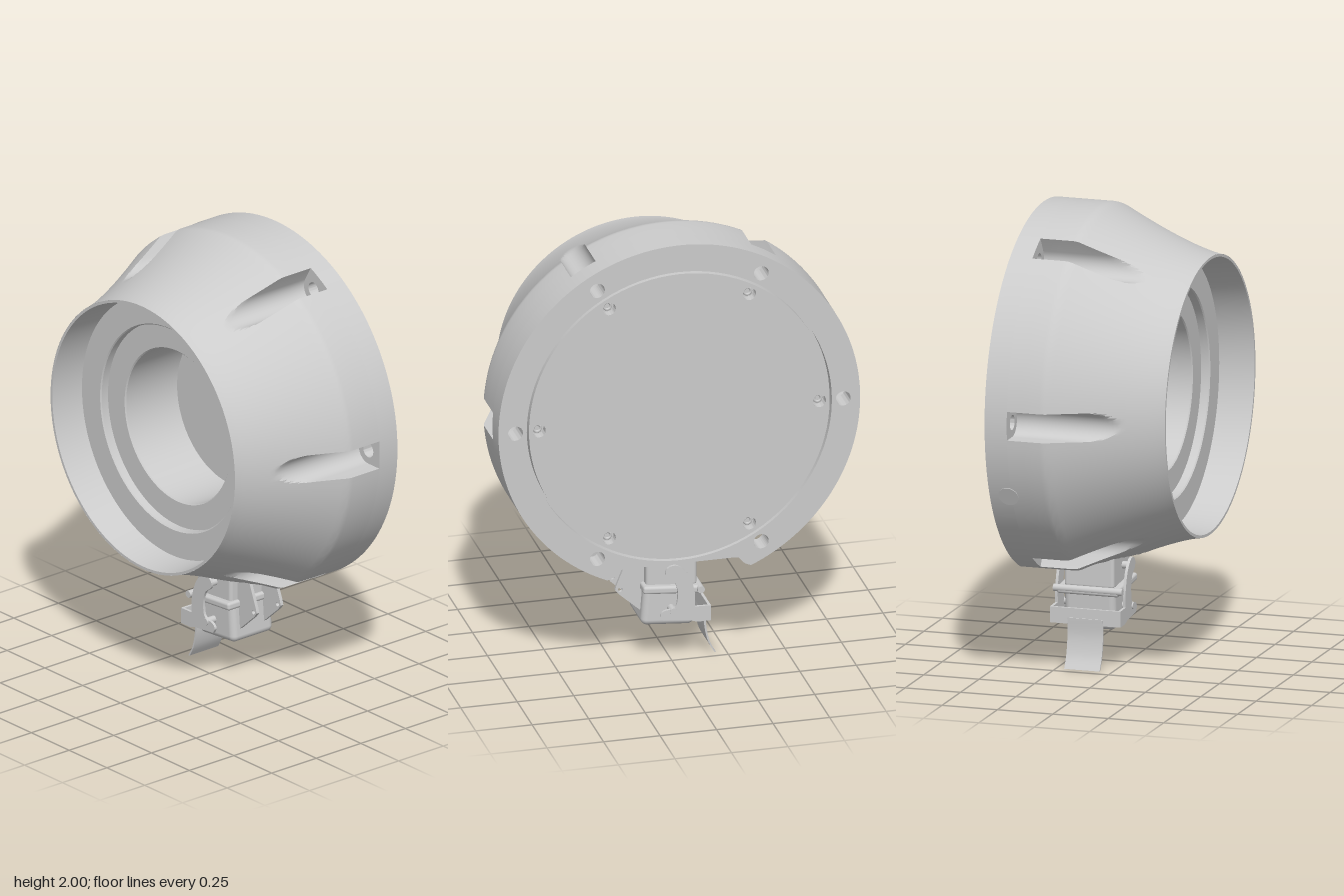
import * as THREE from 'three';
import { toCreasedNormals } from 'three/addons/utils/BufferGeometryUtils.js';
import { RoundedBoxGeometry } from 'three/addons/geometries/RoundedBoxGeometry.js';

const mat = new THREE.MeshStandardMaterial({ color: 0xcccccc, side: THREE.DoubleSide });
const CY = 1.2, R = 0.8, BOLT = 0.725, W = 0.063, FLOOR = -0.275, BACK = -0.375, FRONT = 0.375;

function add(parent, name, geo, x = 0, y = 0, z = 0) {
  const mesh = new THREE.Mesh(geo, mat);
  mesh.name = name;
  mesh.position.set(x, y, z);
  parent.add(mesh);
  return mesh;
}

// Flat at the bottom of the housing, with small sloped ends
const flatten = (x, y) => Math.max(y, -0.69 - Math.max(0, Math.abs(x) - 0.26) * 1.1);

// Flared outer radius along the axis
function radiusAt(z) {
  if (z <= -0.13) return R;
  if (z < -0.1) return R - 0.006 * ((z + 0.13) / 0.03) ** 2;
  return 0.61 + 0.184 * Math.pow(Math.max(0, 1 - (z + 0.1) / 0.475), 1.32);
}

// Outline at one height: circle with six U-shaped bolt slots and the flat
function outline(z, slotted) {
  const r = radiusAt(z), half = Math.asin(W / r), pts = [];
  for (let k = 0; k < 6; k++) {
    const a = k * Math.PI / 3, c = Math.cos(a), s = Math.sin(a);
    const put = (u, v) => {
      const x = u * c - v * s, y = u * s + v * c;
      pts.push(new THREE.Vector2(x, flatten(x, y)));
    };
    const edge = Math.sqrt(r * r - W * W);
    put(edge, -W);
    for (let i = 0; i <= 14; i++) {
      const phi = (i / 14 - 0.5) * Math.PI, v = W * Math.sin(phi);
      const rim = Math.sqrt(r * r - v * v);
      put(slotted ? Math.min(rim, BOLT - W * Math.cos(phi)) : rim, v);
    }
    put(edge, W);
    for (let i = 1; i < 24; i++) {
      const t = half + (Math.PI / 3 - 2 * half) * i / 24;
      put(r * Math.cos(t), r * Math.sin(t));
    }
  }
  return pts;
}

function housingShell() {
  const zs = [FLOOR, -0.2, -0.13, -0.12, -0.11];
  for (let i = 0; i <= 24; i++) zs.push(-0.1 + (FRONT + 0.1) * i / 24);
  const pos = [], idx = [];
  let n = 0;
  zs.forEach((z, i) => {
    const ring = outline(z, true);
    n = ring.length;
    ring.forEach(p => pos.push(p.x, p.y, z));
    if (i === 0) return;
    for (let j = 0; j < n; j++) {
      const a = (i - 1) * n + j, b = (i - 1) * n + (j + 1) % n;
      idx.push(a, b, a + n, b, b + n, a + n);
    }
  });
  const g = new THREE.BufferGeometry();
  g.setAttribute('position', new THREE.Float32BufferAttribute(pos, 3));
  g.setIndex(idx);
  return toCreasedNormals(g, 0.5);
}

const circleHole = (x, y, r) => new THREE.Path().absarc(x, y, r, 0, Math.PI * 2, true);

function ringOfHoles(shape, radius, r) {
  for (let k = 0; k < 6; k++) {
    const a = k * Math.PI / 3;
    shape.holes.push(circleHole(radius * Math.cos(a), radius * Math.sin(a), r));
  }
}

function extrude(shape, depth, segments = 24) {
  const g = new THREE.ExtrudeGeometry(shape, { depth, bevelEnabled: false, curveSegments: segments });
  return toCreasedNormals(g, 0.5);
}

// Turned profile of [radius, z] pairs about the z axis
function turned(profile) {
  const g = new THREE.LatheGeometry(profile.map(p => new THREE.Vector2(p[0], p[1])), 96);
  g.rotateX(Math.PI / 2);
  return toCreasedNormals(g, 0.4);
}

function buildHousing() {
  const g = new THREE.Group();
  g.name = 'housing';
  g.position.y = CY;
  add(g, 'flaredShell', housingShell());

  // Rear flange with through holes
  const flange = new THREE.Shape(outline(FLOOR, false));
  flange.holes.push(circleHole(0, 0, 0.675));
  ringOfHoles(flange, BOLT, 0.033);
  add(g, 'rearFlange', extrude(flange, FLOOR - BACK, 48), 0, 0, BACK);

  // Front rim, stepped cavity and bore
  add(g, 'steppedBore', turned([
    [0.61, 0.375], [0.598, 0.375], [0.585, 0.22], [0.465, 0.22], [0.46, 0.215], [0.46, 0.18],
    [0.35, 0.18], [0.345, 0.175], [0.345, -0.11], [0, -0.11]]));

  // Back cover with recessed screws
  const cover = new THREE.Shape().absarc(0, 0, 0.665, 0, Math.PI * 2, false);
  ringOfHoles(cover, 0.62, 0.029);
  add(g, 'backCover', extrude(cover, 0.04, 48), 0, 0, BACK);
  add(g, 'coverSeat', new THREE.CircleGeometry(0.68, 96), 0, 0, -0.335);
  for (let k = 0; k < 6; k++) {
    const a = k * Math.PI / 3;
    add(g, 'coverScrew', new THREE.TorusGeometry(0.016, 0.006, 8, 20),
      0.62 * Math.cos(a), 0.62 * Math.sin(a), -0.34);
  }

  // Small round port on the side of the rim
  const port = new THREE.Group();
  port.name = 'sidePort';
  port.rotation.z = THREE.MathUtils.degToRad(204);
  const plug = add(port, 'portFace', new THREE.CylinderGeometry(0.045, 0.045, 0.02, 28), 0.792, 0, -0.29);
  plug.rotation.z = -Math.PI / 2;
  g.add(port);
  return g;
}

function buildConnector() {
  const g = new THREE.Group();
  g.name = 'connector';
  const ZC = -0.135;
  add(g, 'socketBase', new RoundedBoxGeometry(0.225, 0.18, 0.225, 3, 0.015), 0, 0.43, ZC);

  // Slightly tilted plug hood
  const hood = new THREE.Group();
  hood.name = 'plugHood';
  hood.position.set(0.01, 0.26, ZC);
  hood.rotation.z = 0.08;
  add(hood, 'hoodBody', new RoundedBoxGeometry(0.235, 0.19, 0.23, 4, 0.028), 0, 0, 0);
  add(hood, 'hoodCollar', new RoundedBoxGeometry(0.265, 0.035, 0.28, 3, 0.012), -0.005, 0.08, 0);
  g.add(hood);

  // Triangular hinge plates
  const tri = new THREE.Shape([[0.1, 0.51], [0.175, 0.51], [0.235, 0.36], [0.24, 0.34], [0.225, 0.32], [0.13, 0.235], [0.1, 0.24]]
    .map(p => new THREE.Vector2(...p)));
  tri.holes.push(circleHole(0.218, 0.34, 0.01));
  for (const z of [-0.075, -0.21]) add(g, 'hingePlate', extrude(tri, 0.015), 0, 0, z);

  // Hooked locking levers on both sides
  const hook = new THREE.Shape();
  hook.moveTo(-0.16, 0.19);
  hook.lineTo(-0.16, 0.26);
  hook.lineTo(-0.09, 0.262);
  hook.splineThru([[-0.09, 0.33], [-0.065, 0.41], [-0.025, 0.455], [0.01, 0.463], [0.037, 0.445],
    [0.035, 0.415], [0, 0.385], [-0.015, 0.34], [-0.01, 0.28], [0.01, 0.262], [0.045, 0.255],
    [0.062, 0.235], [0.05, 0.212]].map(p => new THREE.Vector2(...p)));
  hook.lineTo(-0.07, 0.2);
  hook.lineTo(-0.1, 0.19);
  for (const z of [0.012, -0.294]) add(g, 'lockingLever', extrude(hook, 0.012, 6), 0, 0, z);

  // Pins through the levers
  for (const [x, y, len] of [[0.01, 0.425, 0.29], [0.005, 0.25, 0.33], [-0.12, 0.335, 0.31]]) {
    const pin = add(g, 'leverPin', new THREE.CylinderGeometry(0.016, 0.016, len, 16), x, y, ZC);
    pin.rotation.x = Math.PI / 2;
  }

  // Cross bar and curved pull handle
  add(g, 'leverCrossBar', new THREE.BoxGeometry(0.012, 0.07, 0.31), -0.156, 0.225, ZC);
  const curve = new THREE.SplineCurve([[-0.155, 0.22], [-0.152, 0.14], [-0.168, 0.06], [-0.197, 0.004]]
    .map(p => new THREE.Vector2(...p)));
  const pts = curve.getPoints(14);
  const strip = new THREE.Shape([...pts, ...pts.slice().reverse().map(p => new THREE.Vector2(p.x - 0.009, p.y - 0.003))]);
  add(g, 'pullHandle', extrude(strip, 0.16), 0, 0, ZC - 0.08);
  return g;
}

export function createModel() {
  const model = new THREE.Group();
  model.name = 'roundHousingWithConnector';
  model.add(buildHousing(), buildConnector());
  return model;
}
